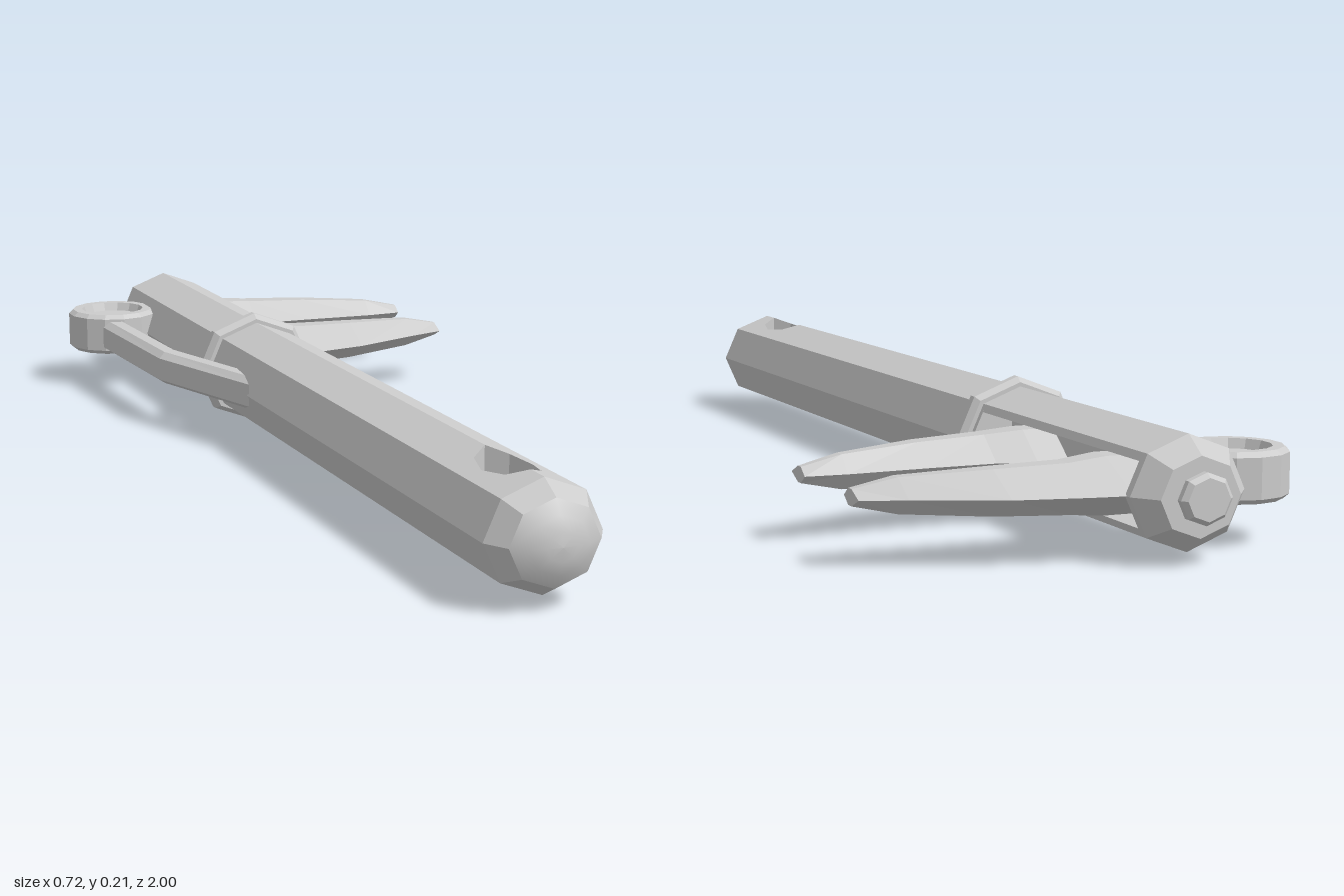
import * as THREE from 'three';

const material = new THREE.MeshStandardMaterial({ color: 0xcccccc, flatShading: true, side: THREE.DoubleSide });
const smooth = new THREE.MeshStandardMaterial({ color: 0xcccccc, side: THREE.DoubleSide });
const SQUASH = 0.92; // the shaft is slightly flatter than wide
const R = 0.098;

function add(parent, name, geometry, mat = material) {
  const mesh = new THREE.Mesh(geometry, mat);
  mesh.name = name;
  parent.add(mesh);
  return mesh;
}

// Eight-sided turned shape along z from [radius, z] pairs, z ascending
function turned(profile, sides = 8) {
  const g = new THREE.LatheGeometry(profile.map(([r, z]) => new THREE.Vector2(r, z)), sides);
  return g.rotateX(Math.PI / 2).scale(1, SQUASH, 1);
}

// Closed skin over equal-sized rings of [x, y, z], turned outward by its volume
function loft(rings) {
  const n = rings[0].length, index = [];
  for (let r = 0; r < rings.length - 1; r++) {
    for (let i = 0; i < n; i++) {
      const a = r * n + i, b = r * n + (i + 1) % n;
      index.push(a, b, a + n, b, b + n, a + n);
    }
  }
  const last = (rings.length - 1) * n;
  for (let i = 1; i < n - 1; i++) index.push(0, i + 1, i, last, last + i, last + i + 1);
  const pts = rings.flat().map((p) => new THREE.Vector3(...p));
  let volume = 0;
  for (let i = 0; i < index.length; i += 3) {
    const [a, b, c] = [0, 1, 2].map((k) => pts[index[i + k]]);
    volume += a.dot(b.clone().cross(c));
  }
  if (volume < 0) index.reverse();
  const g = new THREE.BufferGeometry().setFromPoints(pts);
  g.setIndex(index);
  g.computeVertexNormals();
  return g;
}

// Octagon corners in x, y; the first is on +x
const octagon = [...Array(8)].map((_, i) => {
  const a = i * Math.PI / 4;
  return [R * Math.cos(a), R * SQUASH * Math.sin(a)];
});
const [creaseX, creaseY] = octagon[1];
const topY = octagon[2][1];
const height = (x) => topY + (creaseY - topY) * Math.abs(x) / creaseX;

// Handle facets, with the hanging hole cut through the upper and lower ones
function makeHandle(parent) {
  const handle = new THREE.Group();
  handle.name = 'handle';
  parent.add(handle);
  const z0 = -0.34, z1 = 0.935;
  const notch = [[0, 0.73], [0.03, 0.755], [0.043, 0.81], [0.03, 0.865], [0, 0.89]];
  const outline = [[0, z0], ...notch, [0, z1], [creaseX, z1], [creaseX, z0]];
  const shape = new THREE.Shape(outline.map(([x, z]) => new THREE.Vector2(x, z)));
  for (const sx of [1, -1]) {
    for (const sy of [1, -1]) {
      const g = new THREE.ShapeGeometry(shape);
      const p = g.attributes.position;
      for (let i = 0; i < p.count; i++) {
        const x = p.getX(i), z = p.getY(i);
        p.setXYZ(i, sx * x, sy * height(x), z);
      }
      if (sx * sy > 0) g.index.array.reverse();
      g.computeVertexNormals();
      add(handle, 'handleFacet', g);

      // plain side facet
      const side = new THREE.BufferGeometry().setFromPoints([
        [creaseX, creaseY, z0], [creaseX, creaseY, z1], [R, 0, z1], [R, 0, z0],
      ].map(([x, y, z]) => new THREE.Vector3(sx * x, sy * y, z)));
      side.setIndex(sx * sy > 0 ? [0, 1, 2, 0, 2, 3] : [2, 1, 0, 3, 2, 0]);
      side.computeVertexNormals();
      add(handle, 'handleSide', side);
    }
    // wall of the hole
    const wall = [], index = [];
    notch.forEach(([x, z], i) => {
      wall.push(new THREE.Vector3(sx * x, height(x), z), new THREE.Vector3(sx * x, -height(x), z));
      const a = i * 2;
      if (i < notch.length - 1) index.push(a, a + 1, a + 2, a + 1, a + 3, a + 2);
    });
    if (sx < 0) index.reverse();
    const g = new THREE.BufferGeometry().setFromPoints(wall);
    g.setIndex(index);
    g.computeVertexNormals();
    add(handle, 'holeWall', g);
  }
  add(handle, 'handleEnd', turned([[R, 0.935], [0.075, 0.975]]));
  add(handle, 'endDome', turned([[0.075, 0.975], [0.05, 0.99], [0.025, 0.998], [0, 1]]), smooth);
}

// Head with a channel along its +x side
function makeHead(parent) {
  const head = new THREE.Group();
  head.name = 'head';
  parent.add(head);
  const cut = [0.075, 0.051], floor = [0.02, 0.043];
  const section = [cut, ...octagon.slice(1), [cut[0], -cut[1]], [floor[0], -floor[1]], floor];
  const g = new THREE.ExtrudeGeometry(new THREE.Shape(section.map((p) => new THREE.Vector2(...p))),
    { depth: 0.55, bevelEnabled: false });
  add(head, 'slottedHead', g.translate(0, 0, -0.92));
  add(head, 'headNeck', turned([[0, -0.37], [R, -0.37], [R, -0.33]]));
  add(head, 'headTip', turned([[0, -0.975], [0.068, -0.975], [R, -0.935], [R, -0.92], [0, -0.92]]));
  add(head, 'endKnob', turned([[0, -1], [0.036, -1], [0.044, -0.992], [0.044, -0.982], [0.036, -0.97]]));
  add(head, 'collar', turned([[R, -0.36], [0.106, -0.36], [0.116, -0.35], [0.116, -0.335],
    [0.106, -0.322], [R, -0.322]]));
}

// Tapered jaw; side +1 is the one nearer the handle
function makeJaw(side) {
  // x, inner offset, outer offset from the line between the jaws, half height
  const sections = [
    [0.03, 0.062, 0.262, 0.046], [0.085, 0.064, 0.26, 0.046], [0.15, 0.083, 0.25, 0.04],
    [0.27, 0.083, 0.225, 0.036], [0.41, 0.078, 0.167, 0.028], [0.48, 0.083, 0.142, 0.013],
  ];
  return loft(sections.map(([x, inner, outer, h]) => {
    const ring = [[0, 0], [0.3, 1], [0.52, 1], [1, 0], [0.52, -1], [0.3, -1]];
    return ring.map(([t, y]) => [x, y * h, -0.6675 + side * (inner + (outer - inner) * t)]);
  }));
}

// Pocket clip: round dished button with a bent spring arm
function makeClip(parent) {
  const clip = new THREE.Group();
  clip.name = 'clip';
  parent.add(clip);
  const profile = [[0, -0.036], [0.082, -0.036], [0.091, -0.028], [0.091, 0.038], [0.082, 0.046],
    [0.064, 0.046], [0.058, 0.03], [0, 0.03]];
  const button = new THREE.LatheGeometry(profile.map((p) => new THREE.Vector2(...p)), 14);
  add(clip, 'clipButton', button.translate(-0.153, 0, -0.805));

  // outer x, inner x, z
  const path = [[-0.196, -0.158, -0.73, -0.73], [-0.18, -0.145, -0.38, -0.4], [-0.096, -0.086, -0.095, -0.19]];
  add(clip, 'clipArm', loft(path.map(([xo, xi, zo, zi]) => {
    const xm = xo + (xi - xo) * 0.35, zm = zo + (zi - zo) * 0.35;
    return [[xo, 0.022, zo], [xm, 0.033, zm], [xi, 0.033, zi], [xi, -0.029, zi], [xm, -0.029, zm], [xo, -0.02, zo]];
  })));
}

export function createModel() {
  const model = new THREE.Group();
  model.name = 'clampTool';
  const body = new THREE.Group();
  body.name = 'body';
  body.position.set(-0.12, 0.108, 0);
  model.add(body);
  makeHandle(body);
  makeHead(body);
  add(body, 'fixedJaw', makeJaw(-1));
  add(body, 'slidingJaw', makeJaw(1));
  makeClip(body);
  return model;
}
